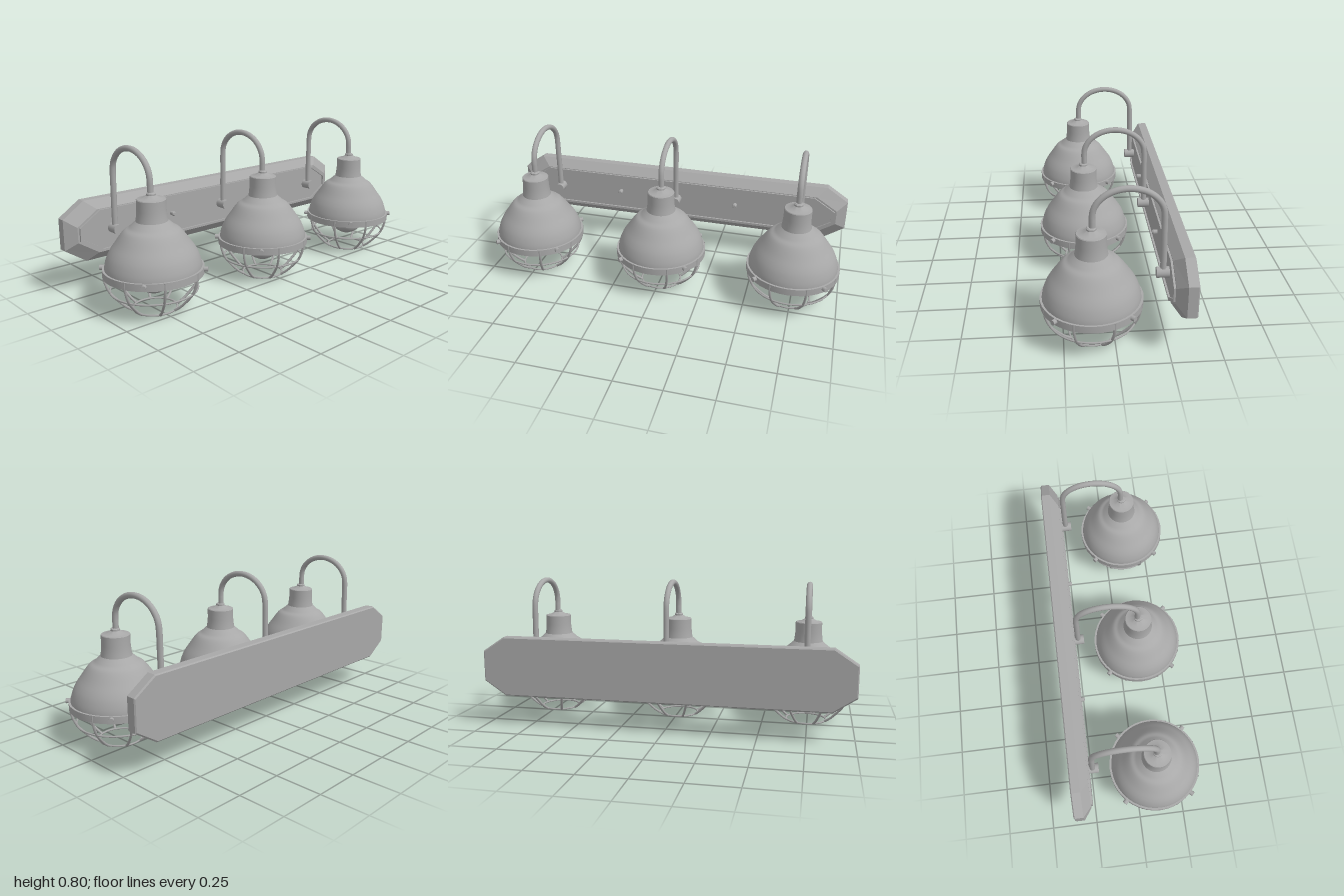
import * as THREE from 'three';
import { toCreasedNormals } from 'three/addons/utils/BufferGeometryUtils.js';

const metal = new THREE.MeshStandardMaterial({ color: 0xa8a8a8, side: THREE.DoubleSide });
metal.name = 'grey metal';

const PLATE_Y = 0.333;
const V = (x, y, z) => new THREE.Vector3(x, y, z);

function add(parent, name, geometry, x = 0, y = 0, z = 0) {
  const mesh = new THREE.Mesh(geometry, metal);
  mesh.name = name;
  mesh.position.set(x, y, z);
  parent.add(mesh);
  return mesh;
}

// Turned part from [radius, height] pairs, listed bottom to top
function turned(points, segments = 40) {
  const profile = points.map(([r, y]) => new THREE.Vector2(r, y));
  return toCreasedNormals(new THREE.LatheGeometry(profile, segments), 0.6);
}

// Smooth turned part whose profile is a spline
function turnedSmooth(points, steps) {
  const curve = new THREE.SplineCurve(points.map(([r, y]) => new THREE.Vector2(r, y)));
  const profile = curve.getPoints(steps);
  profile.forEach((p) => { p.x = Math.max(p.x, 0); });
  return new THREE.LatheGeometry(profile, 40);
}

// Rectangle with clipped corners, given by half sizes and corner cuts
function clippedRect(w, h, cx, cy) {
  return [
    [w, -h + cy], [w, h - cy], [w - cx, h], [-w + cx, h],
    [-w, h - cy], [-w, -h + cy], [-w + cx, -h], [w - cx, -h],
  ].map(([x, y]) => new THREE.Vector2(x, y));
}

// Solid through clipped rectangles, listed back to front
function loft(sections) {
  const pos = [];
  const put = (p, z) => pos.push(p.x, p.y, z);
  const n = 8;
  for (let s = 0; s + 1 < sections.length; s++) {
    const a = sections[s], b = sections[s + 1];
    for (let i = 0; i < n; i++) {
      const j = (i + 1) % n;
      put(a.ring[i], a.z); put(a.ring[j], a.z); put(b.ring[j], b.z);
      put(a.ring[i], a.z); put(b.ring[j], b.z); put(b.ring[i], b.z);
    }
  }
  const back = sections[0], front = sections[sections.length - 1];
  for (let i = 1; i + 1 < n; i++) {
    put(front.ring[0], front.z); put(front.ring[i], front.z); put(front.ring[i + 1], front.z);
    put(back.ring[0], back.z); put(back.ring[i + 1], back.z); put(back.ring[i], back.z);
  }
  const g = new THREE.BufferGeometry();
  g.setAttribute('position', new THREE.Float32BufferAttribute(pos, 3));
  g.computeVertexNormals();
  return g;
}

function buildWallPlate() {
  const plate = new THREE.Group();
  plate.name = 'wallPlate';
  plate.position.y = PLATE_Y;
  add(plate, 'plateBody', loft([
    { ring: clippedRect(0.994, 0.157, 0.118, 0.078), z: -0.36 },
    { ring: clippedRect(1, 0.163, 0.12, 0.08), z: -0.354 },
    { ring: clippedRect(1, 0.163, 0.12, 0.08), z: -0.308 },
    { ring: clippedRect(0.944, 0.117, 0.118, 0.076), z: -0.264 },
  ]));
  // Thin raised rim around the front face
  const rim = new THREE.Shape(clippedRect(0.934, 0.113, 0.12, 0.077));
  rim.holes.push(new THREE.Path(clippedRect(0.916, 0.1, 0.114, 0.07)));
  add(plate, 'plateRim', new THREE.ExtrudeGeometry(rim, { depth: 0.012, bevelEnabled: false }), 0, 0, -0.266);
  // Mounting knobs between the lamps
  for (const x of [-0.355, 0.355]) {
    const knob = add(plate, 'mountingKnob', turned([[0.012, 0], [0.013, 0.024], [0.009, 0.03], [0, 0.031]], 16), x, 0.007, -0.266);
    knob.rotation.x = Math.PI / 2;
  }
  return plate;
}

function buildCage(lamp) {
  const cage = new THREE.Group();
  cage.name = 'wireCage';
  lamp.add(cage);
  const rib = new THREE.CatmullRomCurve3([
    V(0.247, 0.22, 0), V(0.245, 0.18, 0), V(0.236, 0.145, 0), V(0.217, 0.105, 0),
    V(0.18, 0.061, 0), V(0.145, 0.027, 0), V(0.115, 0.006, 0),
  ]);
  const ribGeometry = new THREE.TubeGeometry(rib, 18, 0.007, 6);
  for (let i = 0; i < 8; i++) {
    add(cage, 'cageRib', ribGeometry).rotation.y = Math.PI / 8 + i * Math.PI / 4;
  }
  for (const [radius, y] of [[0.218, 0.105], [0.111, 0.005]]) {
    add(cage, 'cageRing', new THREE.TorusGeometry(radius, 0.005, 6, 40), 0, y, 0).rotation.x = Math.PI / 2;
  }
}

function buildLamp() {
  const lamp = new THREE.Group();
  lamp.name = 'lamp';

  // Open shade, its socket and the rim band
  add(lamp, 'shade', turnedSmooth([
    [0.241, 0.19], [0.239, 0.235], [0.226, 0.28], [0.208, 0.315], [0.182, 0.352],
    [0.155, 0.39], [0.136, 0.411], [0.115, 0.424], [0.1, 0.437], [0.079, 0.456],
  ], 36));
  add(lamp, 'socket', turned([
    [0.081, 0.45], [0.077, 0.47], [0.073, 0.51], [0.073, 0.561], [0.07, 0.565],
    [0.048, 0.568], [0.024, 0.582], [0.024, 0.59], [0.019, 0.595], [0, 0.596],
  ]));
  add(lamp, 'rimBand', turned([
    [0.241, 0.185], [0.251, 0.185], [0.251, 0.222], [0.239, 0.222],
  ]));

  // Four screws on the band
  for (let i = 0; i < 4; i++) {
    const pivot = new THREE.Group();
    pivot.name = 'rimScrew';
    pivot.rotation.y = Math.PI / 4 + i * Math.PI / 2;
    lamp.add(pivot);
    const screw = add(pivot, 'screwHead', new THREE.CylinderGeometry(0.013, 0.013, 0.028, 12), 0.256, 0.209, 0);
    screw.rotation.z = Math.PI / 2;
  }

  add(lamp, 'bulb', turnedSmooth([
    [0, 0.079], [0.022, 0.084], [0.05, 0.097], [0.073, 0.114], [0.084, 0.145],
    [0.085, 0.185], [0.077, 0.24], [0.06, 0.3], [0.05, 0.36], [0.048, 0.45],
  ], 28));

  buildCage(lamp);

  // Gooseneck: straight ends joined by a half ellipse
  const path = [V(0, 0.58, -0.005), V(0, 0.62, -0.005)];
  for (let i = 0; i <= 12; i++) {
    const a = (i / 12) * Math.PI;
    path.push(V(0, 0.648 + 0.137 * Math.sin(a), -0.172 + 0.167 * Math.cos(a)));
  }
  path.push(V(0, 0.55, -0.341), V(0, 0.45, -0.343), V(0, 0.335, -0.343));
  add(lamp, 'gooseneck', new THREE.TubeGeometry(new THREE.CatmullRomCurve3(path), 64, 0.0155, 12));

  // Short stub fixing the arm to the wall plate
  const stub = add(lamp, 'armStub', new THREE.CylinderGeometry(0.027, 0.027, 0.066, 20), 0, 0.337, -0.343);
  stub.rotation.x = Math.PI / 2;
  return lamp;
}

export function createModel() {
  const model = new THREE.Group();
  model.name = 'threeLampWallLight';
  model.add(buildWallPlate());
  for (const x of [-0.742, 0, 0.742]) {
    const lamp = buildLamp();
    lamp.position.set(x, 0, 0.108);
    model.add(lamp);
  }
  return model;
}
